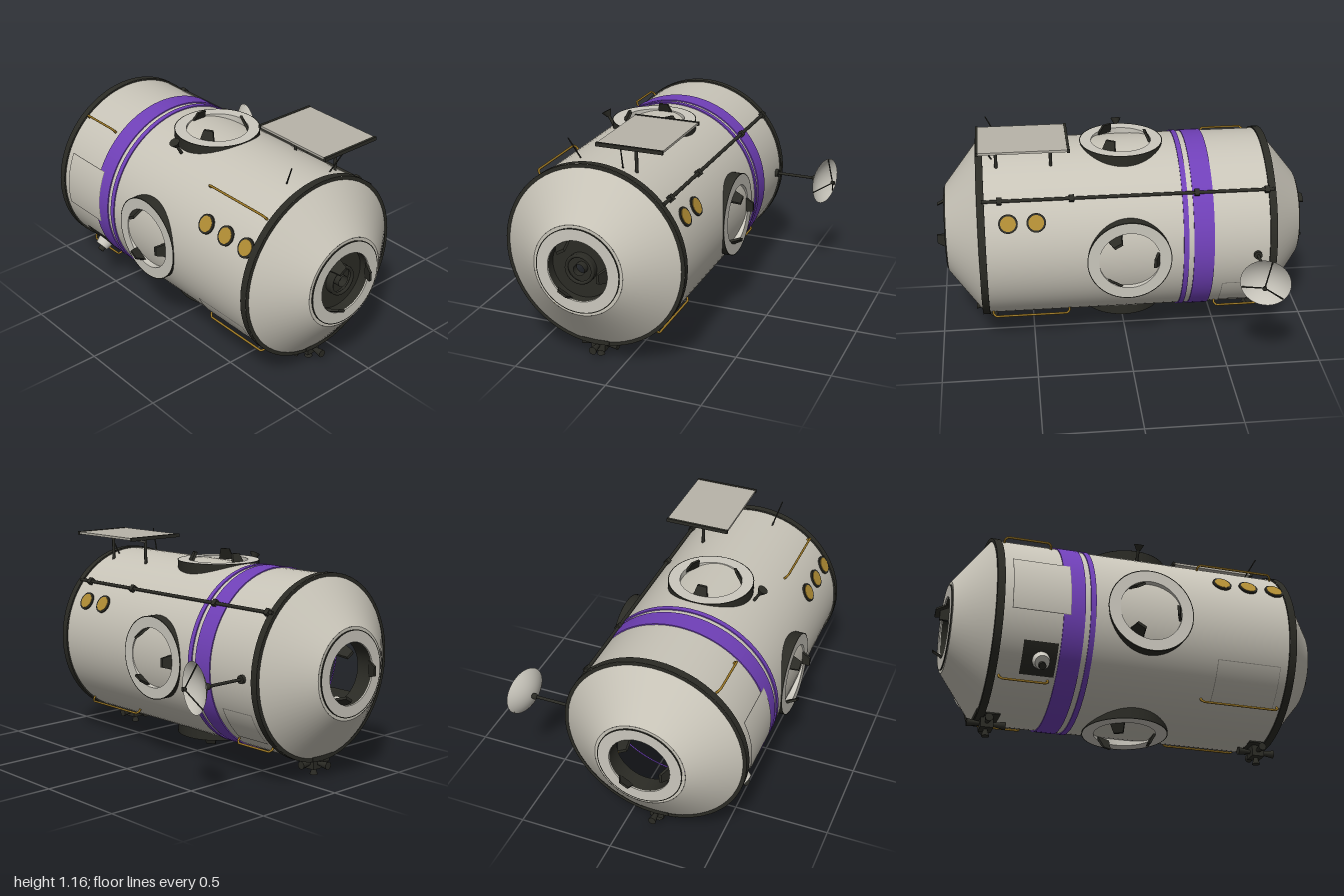
import * as THREE from 'three';

const CY = 0.568, CZ = 0.155, R = 0.475, HALF = 0.765;
const rad = THREE.MathUtils.degToRad;

function material(name, color, side = THREE.FrontSide) {
  const m = new THREE.MeshStandardMaterial({ color, side });
  m.name = name;
  return m;
}

export function createModel() {
  const root = new THREE.Group();
  root.name = 'stationModule';
  const hull = material('hullGrey', 0xc8c4b8);
  const light = material('portGrey', 0xcbc8be, THREE.DoubleSide);
  const panel = material('panelGrey', 0xb8b4a9, THREE.DoubleSide);
  const seam = material('seamGrey', 0x8a877f);
  const dark = material('charcoal', 0x2b2b25, THREE.DoubleSide);
  const purple = material('purple', 0x7040b8);
  const gold = material('windowGold', 0xb08c34);
  const brass = material('railBrass', 0x9a7624);

  const V = (x, y, z) => new THREE.Vector3(x, y, z);
  function add(parent, name, geo, mat, x = 0, y = 0, z = 0) {
    const m = new THREE.Mesh(geo, mat);
    m.name = name;
    m.position.set(x, y, z);
    parent.add(m);
    return m;
  }
  function rod(parent, name, a, b, r, mat, rEnd = r) {
    const d = b.clone().sub(a);
    const m = add(parent, name, new THREE.CylinderGeometry(rEnd, r, d.length(), 12), mat);
    m.position.copy(a).addScaledVector(d, 0.5);
    m.quaternion.setFromUnitVectors(V(0, 1, 0), d.normalize());
    return m;
  }
  // Group on the hull axis whose local +y points outward at the given elevation (0 = front, 90 = top)
  function mount(name, x, elevation) {
    const g = new THREE.Group();
    g.name = name;
    g.position.set(x, CY, CZ);
    g.rotation.x = rad(90 - elevation);
    root.add(g);
    return g;
  }
  // Cylinder lying along x
  function drum(name, x0, x1, r, mat, open) {
    const g = new THREE.CylinderGeometry(r, r, x1 - x0, 80, 1, open).rotateZ(-Math.PI / 2);
    return add(root, name, g, mat, (x0 + x1) / 2, CY, CZ);
  }
  // Curved plate hugging the hull between two elevations
  function patch(name, x0, x1, e0, e1, r, mat) {
    const g = new THREE.CylinderGeometry(r, r, x1 - x0, 20, 1, true, rad(-e1), rad(e1 - e0));
    return add(root, name, g.rotateZ(-Math.PI / 2), mat, (x0 + x1) / 2, CY, CZ);
  }
  const flatRing = (r0, r1) => new THREE.RingGeometry(r0, r1, 56).rotateX(-Math.PI / 2);
  const tube = (r, h) => new THREE.CylinderGeometry(r, r, h, 56, 1, true);

  // Pressure hull and bands
  drum('hull', -HALF, HALF, R, hull, true);
  for (const [x0, x1] of [[-0.444, -0.337], [-0.31, -0.283]]) {
    drum('purpleBand', x0, x1, 0.481, purple, true);
    for (const s of [-1, 1]) {
      const g = new THREE.RingGeometry(0.47, 0.481, 80).rotateY(s * Math.PI / 2);
      add(root, 'bandEdge', g, purple, s < 0 ? x0 : x1, CY, CZ);
    }
  }

  // Docking port: light ring with dark wall and three guide petals, at height h along local +y
  function port(g, h, depth, petalAngle) {
    add(g, 'portRing', flatRing(0.16, 0.217), light, 0, h, 0);
    add(g, 'portEdge', flatRing(0.217, 0.222), dark, 0, h, 0);
    add(g, 'portWall', tube(0.221, depth), dark, 0, h - depth / 2, 0);
    add(g, 'portInnerWall', tube(0.16, depth), light, 0, h - depth / 2, 0);
    for (let i = 0; i < 3; i++) {
      const holder = new THREE.Group();
      holder.name = 'guidePetal';
      holder.rotation.y = -rad(petalAngle + i * 120);
      g.add(holder);
      const geo = new THREE.BoxGeometry(0.014, 0.062, 0.084);
      const p = geo.attributes.position;
      for (let k = 0; k < p.count; k++) { // narrow toward the tip and lean inward
        if (p.getY(k) > 0) {
          p.setZ(k, p.getZ(k) * 0.58);
          p.setX(k, p.getX(k) - 0.03);
        }
      }
      geo.computeVertexNormals();
      add(holder, 'petal', geo, dark, 0.158, h + 0.012, 0);
    }
  }
  for (const [name, e, a] of [['frontPort', 0, 0], ['topPort', 90, 180], ['backPort', 180, 180], ['bottomPort', -90, 0]])
    port(mount(name, 0, e), 0.479, 0.07, a);

  // End cones with their ports and joint rings
  for (const s of [-1, 1]) {
    const end = new THREE.Group();
    end.name = s > 0 ? 'leftEnd' : 'rightEnd';
    end.position.set(0, CY, CZ);
    end.rotation.z = -s * Math.PI / 2;
    root.add(end);
    add(end, 'cone', new THREE.CylinderGeometry(0.237, R, 0.185, 80, 1, true), hull, 0, 0.8575, 0);
    add(end, 'coneLip', flatRing(0.2, 0.237), hull, 0, 0.95, 0);
    add(end, 'jointRing', new THREE.CylinderGeometry(0.484, 0.484, 0.038, 80, 1, true), dark, 0, 0.757, 0);
    for (const y of [0.738, 0.776]) add(end, 'jointRingFace', flatRing(0.465, 0.484), dark, 0, y, 0);
    port(end, 0.957, 0.012, -90 * s);
    add(end, 'dockingTunnel', tube(0.159, 0.09), dark, 0, 0.906, 0);
    if (s > 0) { // docking probe
      add(end, 'probePlate', flatRing(0.029, 0.159), dark, 0, 0.9, 0);
      add(end, 'probeCollar', tube(0.078, 0.03), dark, 0, 0.915, 0);
      add(end, 'probeRim', new THREE.TorusGeometry(0.07, 0.009, 8, 40).rotateX(Math.PI / 2), dark, 0, 0.93, 0);
      add(end, 'probeTube', tube(0.03, 0.04), dark, 0, 0.92, 0);
    }
  }

  // Round windows
  for (const [x, e] of [[0.406, 30.6], [0.55, 30.6], [0.695, 30.6], [0.476, 152.5], [0.62, 152.5]]) {
    const g = mount('window', x, e);
    add(g, 'windowFrame', new THREE.CylinderGeometry(0.05, 0.05, 0.014, 32), dark, 0, 0.475, 0);
    add(g, 'windowGlass', new THREE.CylinderGeometry(0.04, 0.04, 0.004, 32), gold, 0, 0.4825, 0);
  }

  // Handrails
  for (const e of [50.6, -50.6, -129.4]) {
    for (const [x0, x1] of [[-0.72, -0.48], [0.31, 0.72]]) {
      const g = mount('handrail', 0, e);
      const path = new THREE.CurvePath();
      const c = 0.014, top = 0.505;
      const pts = [V(x0, 0.465, 0), V(x0, top - c, 0), V(x0 + c, top, 0), V(x1 - c, top, 0), V(x1, top - c, 0), V(x1, 0.465, 0)];
      for (let i = 0; i < 5; i++) path.add(new THREE.LineCurve3(pts[i], pts[i + 1]));
      add(g, 'rail', new THREE.TubeGeometry(path, 60, 0.006, 8), brass);
    }
  }

  // Access panels, each over a slightly larger seam plate
  for (const [x0, x1, e0, e1, r] of [[-0.695, -0.412, -9.6, 24.8, 0.4835], [0.364, 0.695, -52, -25.2, 0.4785], [-0.7, -0.5, -157, -133, 0.4785]]) {
    patch('panelSeam', x0 - 0.003, x1 + 0.003, e0 - 0.4, e1 + 0.4, r - 0.0015, seam);
    patch('accessPanel', x0, x1, e0, e1, r, hull);
  }

  // Sensor bay
  patch('sensorBay', -0.626, -0.455, -48, -27.5, 0.479, dark);
  const sensor = mount('sensor', -0.53, -38.5);
  add(sensor, 'sensorBody', new THREE.CylinderGeometry(0.036, 0.045, 0.045, 28), light, 0, 0.495, 0);
  add(sensor, 'sensorLens', new THREE.CylinderGeometry(0.018, 0.018, 0.03, 20), dark, 0, 0.525, 0.012);

  // Cable conduit along the upper back
  const conduit = mount('conduit', 0, 138.5);
  rod(conduit, 'conduitPipe', V(-0.765, 0.486, 0), V(0.75, 0.486, 0), 0.009, dark);
  for (const x of [-0.73, -0.36, 0.29, 0.66])
    add(conduit, 'conduitClamp', new THREE.BoxGeometry(0.026, 0.034, 0.034), dark, x, 0.482, 0);

  // Floodlight
  const lamp = mount('floodlight', 0, 60);
  rod(lamp, 'lampStalk', V(0, 0.46, 0), V(0, 0.535, 0), 0.008, dark);
  rod(lamp, 'lampHead', V(0, 0.53, 0), V(0, 0.562, 0), 0.012, dark, 0.028);

  // Flat panel on posts
  add(root, 'solarPanel', new THREE.BoxGeometry(0.46, 0.012, 0.34), panel, 0.53, 1.155, -0.04);
  for (const x of [0.3, 0.76])
    add(root, 'panelEndBar', new THREE.BoxGeometry(0.014, 0.019, 0.345), dark, x, 1.154, -0.04);
  for (const x of [0.385, 0.668]) {
    rod(root, 'panelPost', V(x, 0.98, -0.036), V(x, 1.15, -0.036), 0.0085, dark);
    rod(root, 'panelStrut', V(x, 1.12, -0.04), V(x + 0.03, 1.148, -0.13), 0.005, seam);
  }

  // Whip antennas
  rod(root, 'whipAntenna', V(0.645, 1.02, 0.268), V(0.716, 1.148, 0.302), 0.004, dark, 0.003);
  rod(root, 'whipAntenna', V(0.69, 1.02, 0.025), V(0.755, 1.14, 0.006), 0.004, dark, 0.003);

  // Dish antenna on a boom at the back
  const tip = V(-0.674, CY, -0.56);
  rod(root, 'dishBoom', V(-0.674, CY, -0.3), tip, 0.008, dark);
  rod(root, 'boomBase', V(-0.674, CY, -0.31), V(-0.674, CY, -0.337), 0.022, dark);
  add(root, 'boomJoint', new THREE.SphereGeometry(0.017, 16, 12), dark, tip.x, tip.y, tip.z + 0.008);
  const dish = new THREE.Group();
  dish.name = 'dish';
  dish.position.set(-0.668, CY, -0.572);
  dish.quaternion.setFromUnitVectors(V(0, 1, 0), V(0.29, 0, -0.95).normalize());
  root.add(dish);
  const bowl = [];
  for (let i = 0; i <= 8; i++) bowl.push(new THREE.Vector2(0.129 * i / 8, 0.05 * (i / 8) ** 2));
  add(dish, 'dishBowl', new THREE.LatheGeometry(bowl, 40), light);
  const feed = V(0, 0.1, 0);
  for (let i = 0; i < 3; i++) {
    const a = rad(i * 120);
    rod(dish, 'feedStrut', V(0.124 * Math.cos(a), 0.047, 0.124 * Math.sin(a)), feed, 0.0035, dark);
  }
  add(dish, 'feedHorn', new THREE.CylinderGeometry(0.012, 0.008, 0.02, 12), dark, 0, 0.1, 0);

  // Thruster clusters underneath
  for (const s of [-1, 1]) {
    const g = new THREE.Group();
    g.name = 'thrusterCluster';
    g.position.set(s * 0.72, 0.065, CZ);
    root.add(g);
    add(g, 'thrusterPlate', new THREE.BoxGeometry(0.12, 0.022, 0.15), dark, 0, 0.038, 0);
    add(g, 'thrusterBlock', new THREE.BoxGeometry(0.065, 0.06, 0.075), dark);
    for (const d of [V(1, 0, 0), V(-1, 0, 0), V(0, 0, 1), V(0, 0, -1), V(0, -1, 0)]) {
      const reach = d.y ? 0.065 : 0.098;
      rod(g, 'nozzle', d.clone().multiplyScalar(0.025), d.clone().multiplyScalar(reach), 0.009, dark, 0.021);
    }
  }
  return root;
}
